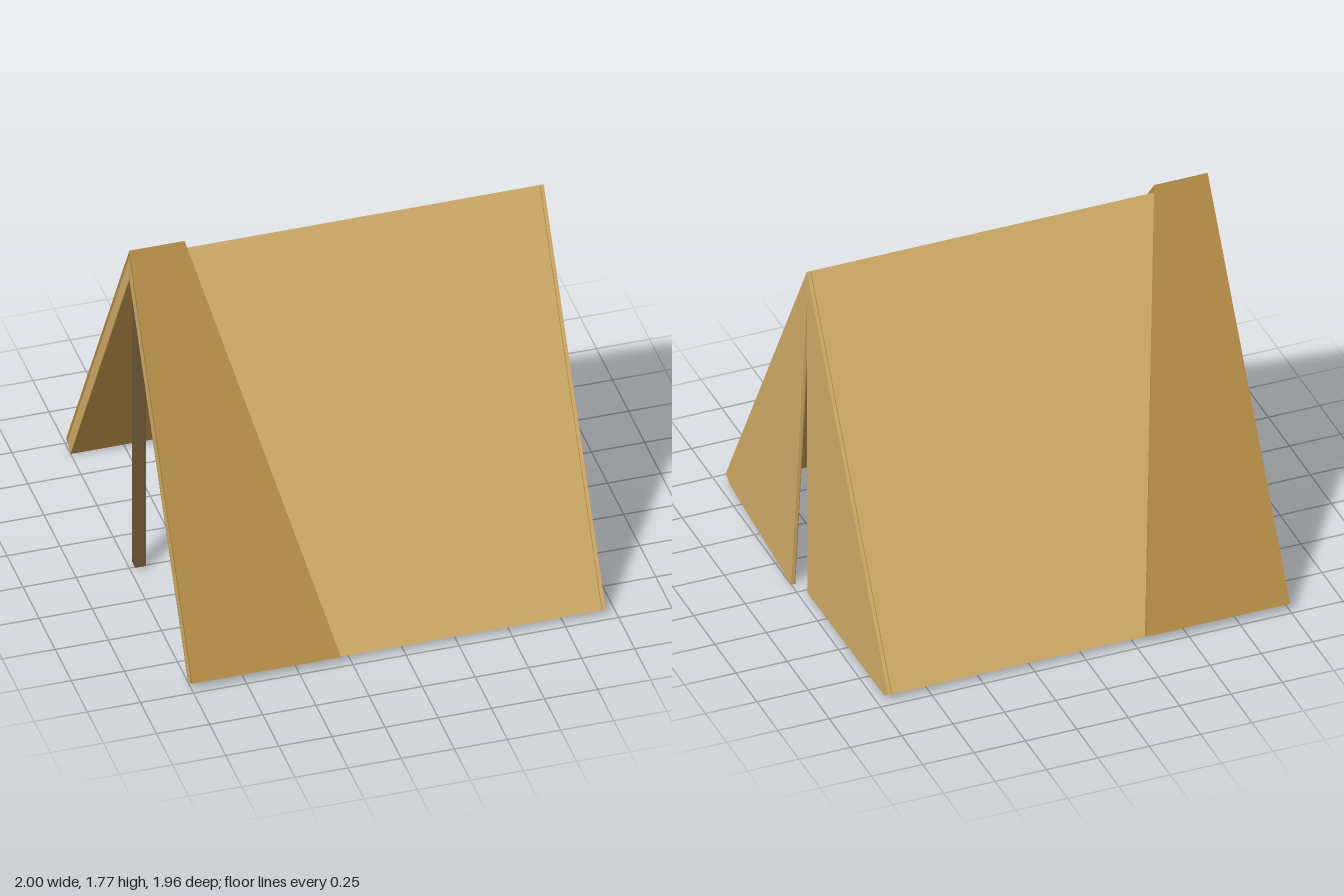
import * as THREE from 'three';

const APEX = 1.727, FOOT_Z = 0.965, FOOT_Y = 0.03; // outer cloth line
const THICK = 0.06, TRIM = 0.02, LINING = 0.004;
const SLOPE = Math.hypot(FOOT_Z, APEX - FOOT_Y);
const NZ = (APEX - FOOT_Y) / SLOPE, NY = FOOT_Z / SLOPE; // outward normal of the slope

const paint = (color) => new THREE.MeshStandardMaterial({ color, flatShading: true });

// Apex and foot of the slope, moved inward by t
const apexY = (t) => APEX - t / NY;
const foot = (t) => [FOOT_Z - NZ * t, FOOT_Y - NY * t];

// Extrude a [z, y] outline along x from x0 to x1
function extrudeX(points, x0, x1) {
  const shape = new THREE.Shape(points.map(([z, y]) => new THREE.Vector2(-z, y)));
  const g = new THREE.ExtrudeGeometry(shape, { depth: x1 - x0, bevelEnabled: false });
  return g.rotateY(Math.PI / 2).translate(x0, 0, 0);
}

// Move each corner along x by a rule
function shiftX(g, rule) {
  const p = g.attributes.position;
  for (let i = 0; i < p.count; i++) p.setX(i, p.getX(i) + rule(p.getX(i), p.getY(i), p.getZ(i)));
  g.computeVertexNormals();
  return g;
}

// Folded sheet over the ridge, between two depths
function chevron(t0, t1, x0, x1) {
  const [az, ay] = foot(t0), [bz, by] = foot(t1);
  return extrudeX([[0, apexY(t0)], [az, ay], [bz, by], [0, apexY(t1)], [-bz, by], [-az, ay]], x0, x1);
}

// Half of the door; its free lower corner swings outward
function doorFlap(side, gap, swing, x0, x1) {
  const [iz, iy] = foot(THICK);
  const outline = [[0, APEX], [FOOT_Z, FOOT_Y], [iz, iy], [gap, iy], [0, 1.6]];
  const g = extrudeX(outline.map(([z, y]) => [z * side, y]), x0, x1);
  return shiftX(g, (x, y, z) => (y < 0.02 && Math.abs(z) < 0.2 ? swing : 0));
}

export function createModel() {
  const tent = new THREE.Group();
  tent.name = 'tent';
  const canvas = paint(0xcfab66), darkCanvas = paint(0xb38a45), wood = paint(0x6b5836);

  function add(name, geometry, material) {
    const mesh = new THREE.Mesh(geometry, material);
    mesh.name = name;
    tent.add(mesh);
    return mesh;
  }

  // Roof cloth and its darker inside
  add('canopy', chevron(0, THICK - LINING, -1, 0.93), canvas);
  add('canopyLining', chevron(THICK - LINING, THICK, -1, 0.93), darkCanvas);

  // Folded-back entrance cloth, wider toward the ground
  const fold = chevron(-TRIM, 0, -1, -0.74);
  shiftX(fold, (x, y) => (x > -0.9 && y < 1 ? 0.44 : 0));
  add('entranceFold', fold, darkCanvas);

  // Two door halves at the closed end, with a slit between them
  for (const [name, side, gap, swing] of [['frontDoorFlap', 1, 0.065, 0.05], ['backDoorFlap', -1, 0.022, 0.007]]) {
    add(name, doorFlap(side, gap, swing, 0.93 + LINING, 0.95), canvas);
    add(name + 'Lining', doorFlap(side, gap, swing, 0.93, 0.93 + LINING), darkCanvas);
  }

  // Poles under both ends of the ridge
  for (const [name, x] of [['entrancePole', -0.955], ['doorPole', 0.905]]) {
    const pole = add(name, new THREE.BoxGeometry(0.05, 1.58, 0.05), wood);
    pole.position.set(x, 0.015 + 0.79, 0);
  }

  return tent;
}
